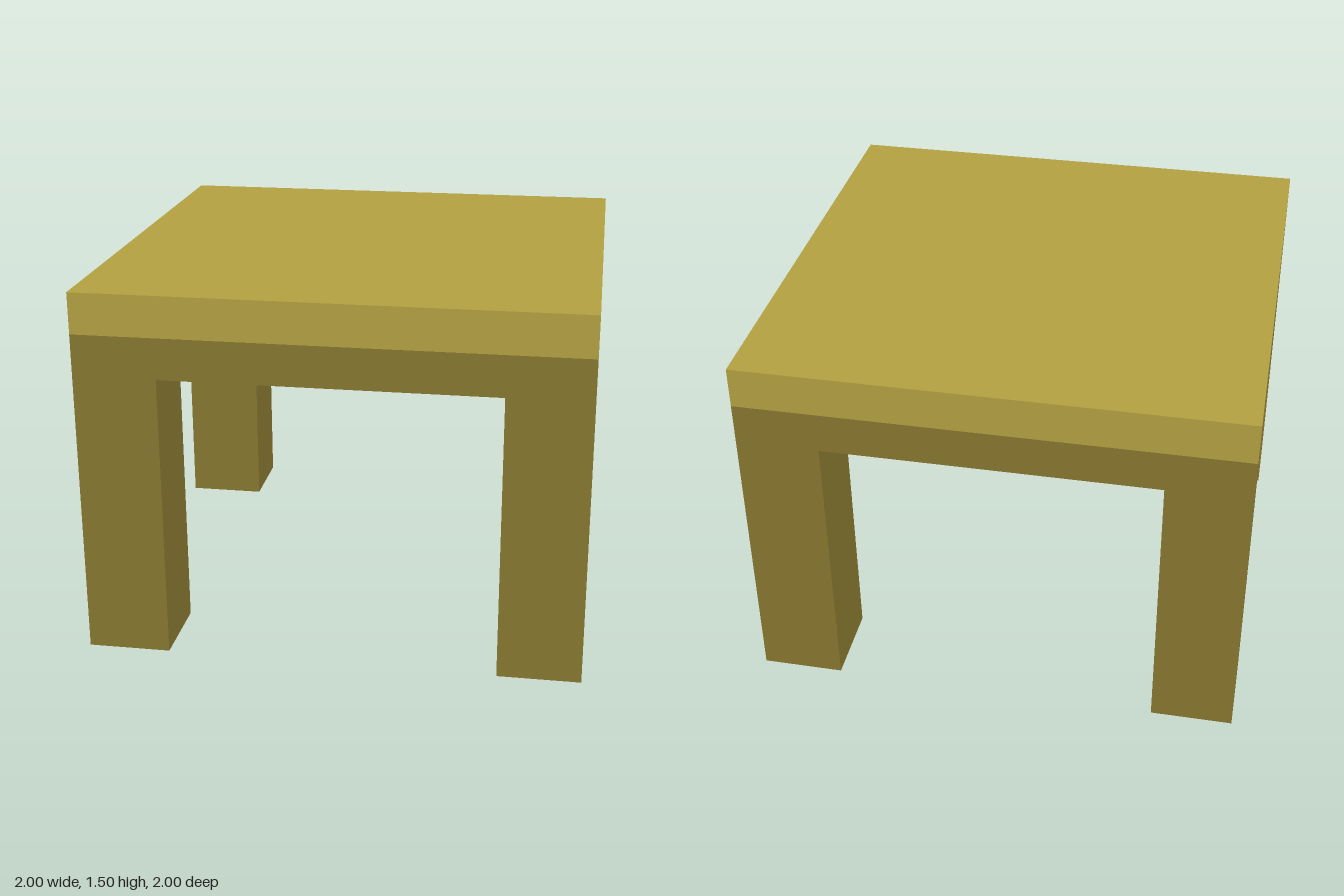
import * as THREE from 'three';

export function createModel() {
  const model = new THREE.Group();
  model.name = 'table';
  const topMaterial = new THREE.MeshStandardMaterial({ color: 0xb3a042 });
  const frameMaterial = new THREE.MeshStandardMaterial({ color: 0x877730 });

  const slab = 1 / 6;       // thickness of top and aprons
  const leg = 1 / 3;        // leg width
  const legHeight = 4 / 3;

  function box(name, material, size, position) {
    const mesh = new THREE.Mesh(new THREE.BoxGeometry(...size), material);
    mesh.name = name;
    mesh.position.set(...position);
    model.add(mesh);
  }

  // Square top
  box('tableTop', topMaterial, [2, slab, 2], [0, legHeight + slab / 2, 0]);

  // Four corner legs, flush with the top
  const legOffset = 1 - leg / 2;
  for (const [sideX, nameX] of [[1, 'Left'], [-1, 'Right']]) {
    for (const [sideZ, nameZ] of [[1, 'front'], [-1, 'back']]) {
      box(nameZ + nameX + 'Leg', frameMaterial, [leg, legHeight, leg],
        [sideX * legOffset, legHeight / 2, sideZ * legOffset]);
    }
  }

  // Aprons joining the legs, flush with the outside
  const span = 2 - 2 * leg;
  const apronOffset = 1 - slab / 2;
  const apronY = legHeight - slab / 2;
  for (const side of [1, -1]) {
    box(side > 0 ? 'frontApron' : 'backApron', frameMaterial,
      [span, slab, slab], [0, apronY, side * apronOffset]);
    box(side > 0 ? 'leftApron' : 'rightApron', frameMaterial,
      [slab, slab, span], [side * apronOffset, apronY, 0]);
  }

  return model;
}
